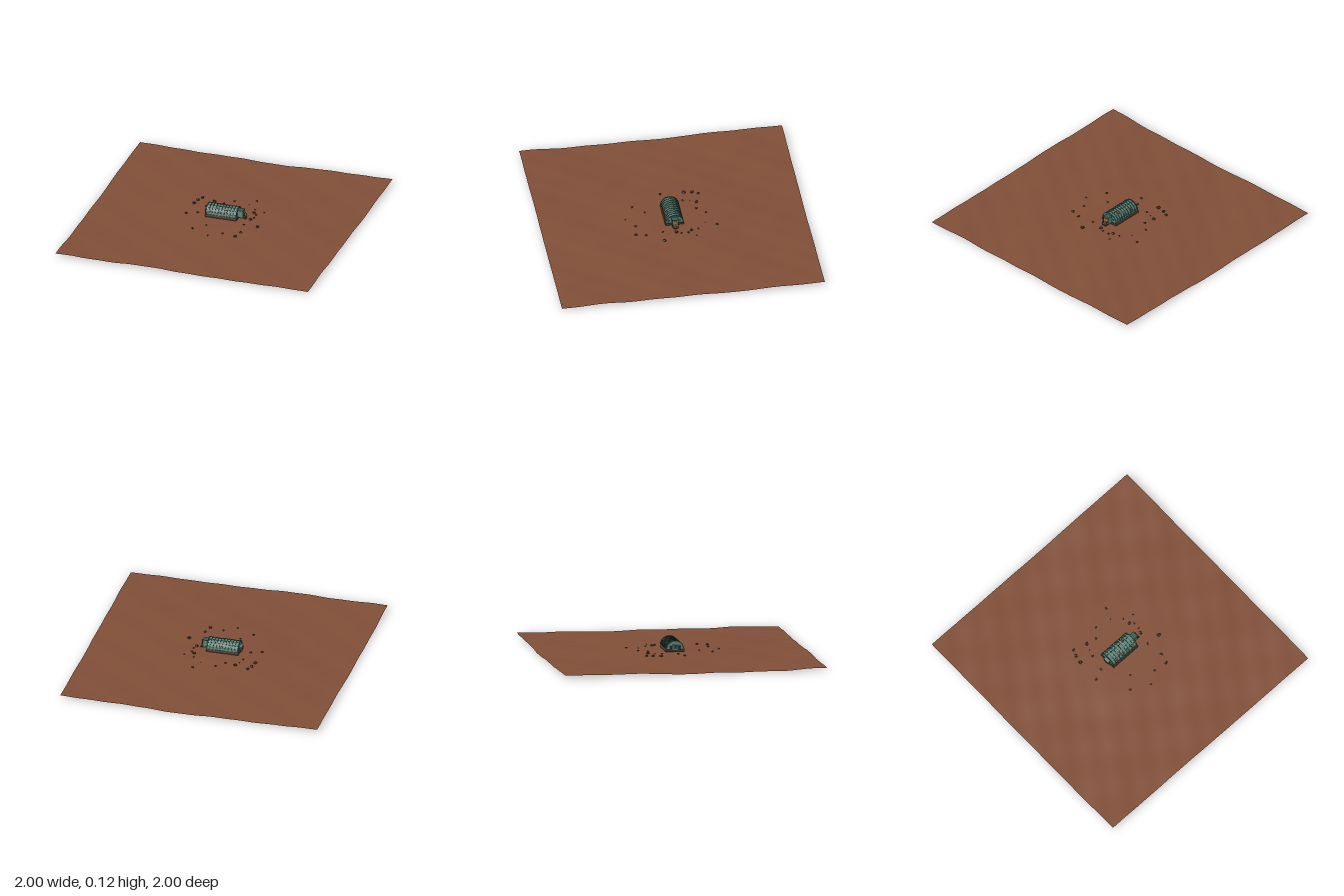
import * as THREE from 'three';

const mat = (name, color, side = THREE.FrontSide) => {
  const m = new THREE.MeshStandardMaterial({ color, side });
  m.name = name;
  return m;
};

// Gentle rolling ground, levelled around the shelter
function groundHeight(x, z) {
  const n = 0.005 * Math.sin(2.6 * x + 1.7 * z + 0.6)
    + 0.004 * Math.sin(3.1 * z - 2.2 * x + 1.9)
    + 0.0025 * Math.sin(7.3 * x + 9.1 * z + 0.4)
    + 0.0015 * Math.sin(15 * z - 11 * x + 2)
    + 0.001 * Math.sin(27 * x + 19 * z);
  const d = Math.hypot(x, z);
  const blend = THREE.MathUtils.smoothstep(d, 0.15, 0.6);
  return THREE.MathUtils.lerp(0.032, 0.022 + n * 1.15, blend);
}

export function createModel() {
  const model = new THREE.Group();
  model.name = 'outpost';
  const soil = mat('red soil', 0x804e37, THREE.DoubleSide);
  const stone = mat('dark stone', 0x5c3a2a);
  const shell = mat('teal panel', 0x648c80);
  const rib = mat('dark teal rib', 0x355a52);
  const rust = mat('rust', 0x86553a);
  const ochre = mat('ochre door', 0xb0793f);
  const metal = mat('dark metal', 0x38403e);
  const glass = mat('amber window', 0xd8a050);

  const add = (parent, name, geo, material, x = 0, y = 0, z = 0) => {
    const m = new THREE.Mesh(geo, material);
    m.name = name;
    m.position.set(x, y, z);
    parent.add(m);
    return m;
  };
  const box = (parent, name, w, h, d, material, x, y, z) =>
    add(parent, name, new THREE.BoxGeometry(w, h, d), material, x, y, z);

  // Ground sheet
  const ground = new THREE.PlaneGeometry(2, 2, 90, 90).rotateX(-Math.PI / 2);
  const p = ground.attributes.position;
  let low = Infinity;
  for (let i = 0; i < p.count; i++) {
    p.setY(i, groundHeight(p.getX(i), p.getZ(i)));
    low = Math.min(low, p.getY(i));
  }
  ground.translate(0, -low, 0);
  ground.computeVertexNormals();
  add(model, 'ground', ground, soil);

  // Loose stones: x, z
  const spots = [
    [-0.25, -0.24], [-0.27, -0.195], [-0.28, -0.135], [-0.145, -0.21], [-0.065, -0.195],
    [-0.005, -0.26], [0.155, -0.32], [0.12, -0.235], [0.19, -0.17], [0.27, -0.145],
    [0.2, -0.115], [0.225, -0.09], [0.225, -0.035], [0.21, 0], [0.3, 0.105], [0.19, 0.1],
    [0.21, 0.23], [0.19, 0.305], [0.085, 0.29], [-0.01, 0.355], [-0.155, 0.28],
    [-0.075, 0.195], [-0.285, 0.045], [-0.205, 0.01], [-0.18, -0.11], [-0.165, -0.16]];
  const sizes = [1.1, 1.3, 1.4, 1.3, 0.9, 0.8, 0.9, 0.4, 0.6, 0.5, 1.2, 0.8, 0.7,
    1.3, 1.4, 0.8, 1, 1.2, 0.8, 0.7, 0.9, 0.7, 1, 0.9, 0.8, 0.4];
  spots.forEach(([x, z], i) => {
    const r = 0.0105 * sizes[i];
    const s = add(model, 'stone', new THREE.DodecahedronGeometry(r), stone,
      x, groundHeight(x, z) - low + r * 0.3, z);
    s.scale.y = 0.75;
    s.rotation.y = i * 1.3;
  });

  // Shelter: half-round hut lying along x
  const hut = new THREE.Group();
  hut.name = 'shelter';
  hut.position.y = 0.045;
  model.add(hut);
  const arch = (outer, inner, length) => {
    const s = new THREE.Shape();
    s.absarc(0, 0, outer, 0, Math.PI, false);
    if (inner) s.absarc(0, 0, inner, Math.PI, 0, true);
    s.closePath();
    return new THREE.ExtrudeGeometry(s, { depth: length, bevelEnabled: false, curveSegments: 20 })
      .rotateY(Math.PI / 2).translate(-length / 2, 0, 0);
  };
  box(hut, 'foundation', 0.25, 0.016, 0.14, metal, -0.004, -0.007, 0);
  add(hut, 'archedShell', arch(0.066, 0, 0.236), shell, -0.004);
  for (let i = 0; i <= 10; i++) {
    const end = i === 0 || i === 10;
    add(hut, 'rib', arch(0.07, 0.062, end ? 0.008 : 0.005), rib, -0.122 + i * 0.0236);
  }
  // Lengthwise battens and rusty patches on the shell
  for (const a of [20, 50, 75, 105, 130, 160]) {
    const t = THREE.MathUtils.degToRad(a);
    const b = box(hut, 'batten', 0.238, 0.004, 0.003, a % 50 ? rib : rust,
      -0.004, Math.sin(t) * 0.067, Math.cos(t) * 0.067);
    b.rotation.x = Math.PI / 2 - t;
  }
  [[1, 35], [3, 62], [4, 30], [6, 40], [8, 33], [2, 145], [5, 150], [7, 120]].forEach(([bay, a]) => {
    const t = THREE.MathUtils.degToRad(a);
    const b = box(hut, 'rustPatch', 0.012, 0.003, 0.017, rust,
      -0.1102 + bay * 0.0236, Math.sin(t) * 0.066, Math.cos(t) * 0.066);
    b.rotation.x = Math.PI / 2 - t;
  });
  for (const s of [-1, 1]) {
    box(hut, 'sill', 0.246, 0.008, 0.006, rust, -0.004, 0.002, s * 0.068);
  }

  // Entrance porch with door and step
  box(hut, 'porch', 0.044, 0.056, 0.046, shell, 0.136, 0.022, 0);
  box(hut, 'porchRoof', 0.046, 0.004, 0.05, rib, 0.136, 0.051, 0);
  for (const s of [-1, 1]) box(hut, 'doorPost', 0.006, 0.054, 0.005, rib, 0.157, 0.022, s * 0.021);
  box(hut, 'door', 0.004, 0.046, 0.03, ochre, 0.159, 0.018, 0);
  box(hut, 'doorPanel', 0.002, 0.02, 0.018, rust, 0.162, 0.009, 0);
  box(hut, 'doorWindow', 0.002, 0.009, 0.014, glass, 0.162, 0.031, 0);
  box(hut, 'step', 0.018, 0.008, 0.036, metal, 0.169, -0.008, 0);
  for (const z of [-0.012, 0, 0.012]) {
    box(hut, 'stepStripe', 0.016, 0.002, 0.005, ochre, 0.169, -0.0035, z);
  }
  for (const s of [-1, 1]) {
    add(hut, 'handrailPost', new THREE.CylinderGeometry(0.0015, 0.0015, 0.028, 6), metal, 0.174, 0.004, s * 0.019);
    const rail = box(hut, 'handrail', 0.018, 0.003, 0.003, metal, 0.166, 0.019, s * 0.019);
    rail.rotation.z = -0.3;
  }

  // Rear service unit and end vents
  box(hut, 'serviceUnit', 0.02, 0.036, 0.046, shell, -0.134, 0.016, 0);
  box(hut, 'serviceGrille', 0.002, 0.022, 0.032, metal, -0.1445, 0.018, 0);
  for (const s of [-1, 1]) {
    add(hut, 'tank', new THREE.CylinderGeometry(0.006, 0.006, 0.032, 10), rust, -0.132, 0.014, s * 0.034);
    box(hut, 'endWindow', 0.003, 0.012, 0.014, metal, 0.1185, 0.026, s * 0.041);
  }
  return model;
}
